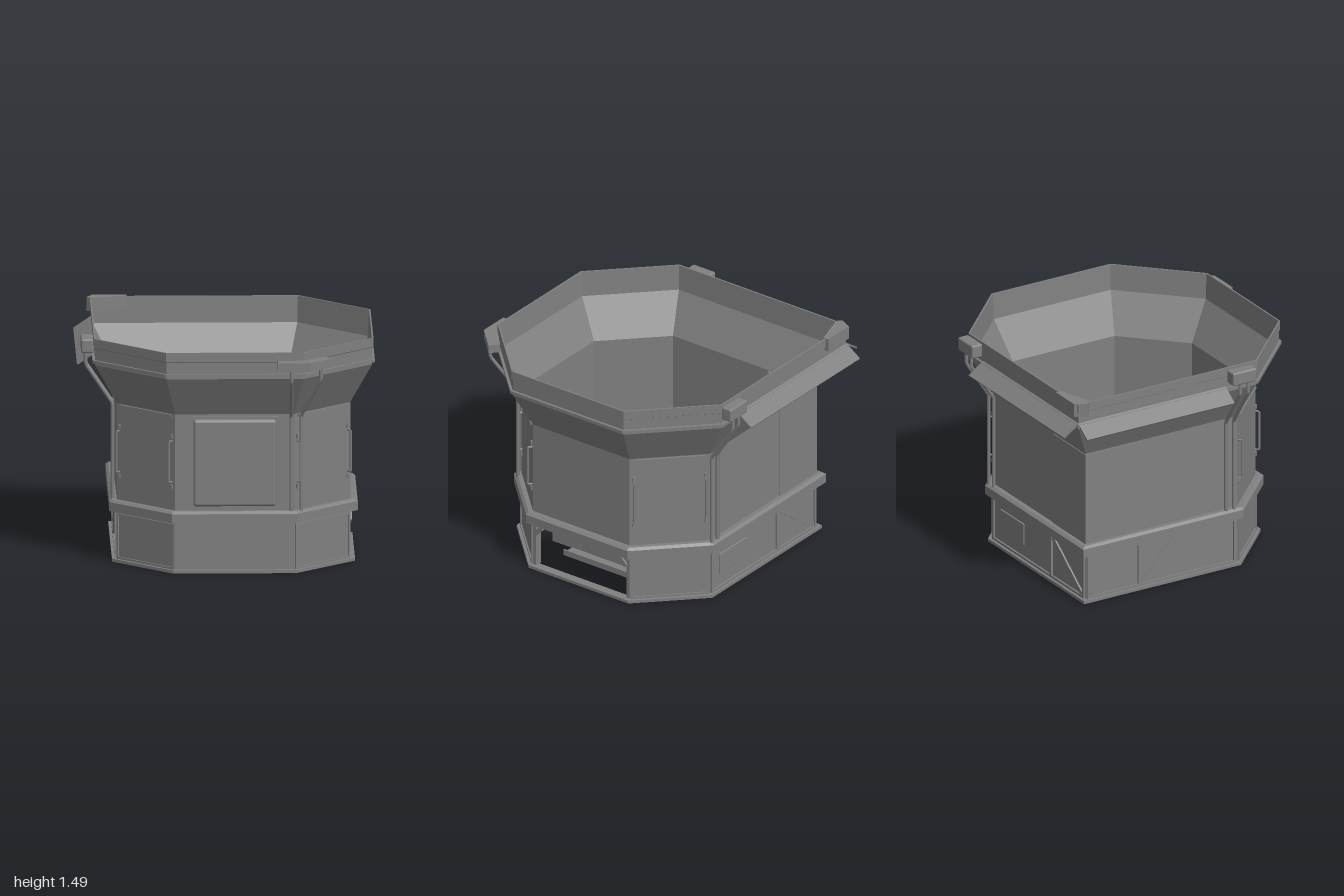
import * as THREE from 'three';
import { RoundedBoxGeometry } from 'three/addons/geometries/RoundedBoxGeometry.js';

const steel = new THREE.MeshStandardMaterial({ color: 0x808080, side: THREE.DoubleSide });
steel.name = 'grey steel';

// Wall plan (x, z): a chamfered box whose back left corner stays square
const plan = [[-0.71, -0.75], [0.43, -0.75], [0.80, -0.38], [0.80, 0.40], [0.43, 0.77], [-0.34, 0.77], [-0.71, 0.40]];
const count = plan.length;
const BACK = 0, RIGHT = 2, FRONT = 4, LEFT = 6, CHAMFERS = [1, 3, 5];
const at = (i) => plan[(i + count) % count];

function normal(i) {
  const [ax, az] = at(i), [bx, bz] = at(i + 1);
  const len = Math.hypot(bx - ax, bz - az);
  return [(bz - az) / len, -(bx - ax) / len];
}

// Plan corner pushed outward by d with a mitre
function corner(i, d) {
  const p = normal(i - 1), q = normal(i), k = d / (1 + p[0] * q[0] + p[1] * q[1]);
  return [at(i)[0] + (p[0] + q[0]) * k, at(i)[1] + (p[1] + q[1]) * k];
}

// Sweeps a profile of [outward offset, height] around the plan
function ring(name, profile, skip = []) {
  const pos = [];
  for (let i = 0; i < count; i++) {
    if (skip.includes(i)) continue;
    for (let j = 0; j < profile.length - 1; j++) {
      const [d0, y0] = profile[j], [d1, y1] = profile[j + 1];
      const v = (k, d, y) => { const c = corner(k, d); return [c[0], y, c[1]]; };
      const a = v(i, d0, y0), b = v(i + 1, d0, y0), c = v(i + 1, d1, y1), e = v(i, d1, y1);
      pos.push(...a, ...e, ...c, ...a, ...c, ...b);
    }
  }
  const geo = new THREE.BufferGeometry();
  geo.setAttribute('position', new THREE.Float32BufferAttribute(pos, 3));
  geo.computeVertexNormals();
  return part(name, geo);
}

function part(name, geo) {
  const mesh = new THREE.Mesh(geo, steel);
  mesh.name = name;
  return mesh;
}

// Box given by its extents
function box(name, x0, x1, y0, y1, z0, z1) {
  const geo = new THREE.BoxGeometry(x1 - x0, y1 - y0, z1 - z0);
  return part(name, geo.translate((x0 + x1) / 2, (y0 + y1) / 2, (z0 + z1) / 2));
}

function roundedBox(name, x0, x1, y0, y1, z0, z1, r) {
  const geo = new RoundedBoxGeometry(x1 - x0, y1 - y0, z1 - z0, 3, r);
  return part(name, geo.translate((x0 + x1) / 2, (y0 + y1) / 2, (z0 + z1) / 2));
}

// Plan outline (x, z) extruded between two heights
function slab(name, outline, y0, y1) {
  const shape = new THREE.Shape(outline.map(([x, z]) => new THREE.Vector2(x, -z)));
  const geo = new THREE.ExtrudeGeometry(shape, { depth: y1 - y0, bevelEnabled: false });
  return part(name, geo.rotateX(-Math.PI / 2).translate(0, y0, 0));
}

function pipe(name, points, radius) {
  const path = new THREE.CurvePath();
  const v = points.map((p) => new THREE.Vector3(...p));
  for (let i = 0; i < v.length - 1; i++) path.add(new THREE.LineCurve3(v[i], v[i + 1]));
  return part(name, new THREE.TubeGeometry(path, 40, radius, 8));
}

// Four bars around a rectangle
function frame(name, u0, u1, y0, y1, w, d) {
  const g = new THREE.Group();
  g.name = name;
  g.add(box('lowerBar', u0, u1, y0, y0 + w, 0, d), box('upperBar', u0, u1, y1 - w, y1, 0, d));
  g.add(box('sideBar', u0, u0 + w, y0, y1, 0, d), box('sideBar', u1 - w, u1, y0, y1, 0, d));
  return g;
}

// Flat bar slanting between two points on a wall
function brace(u0, y0, u1, y1) {
  const geo = new THREE.BoxGeometry(Math.hypot(u1 - u0, y1 - y0), 0.03, 0.012);
  geo.rotateZ(Math.atan2(y1 - y0, u1 - u0)).translate((u0 + u1) / 2, (y0 + y1) / 2, 0.006);
  return part('diagonalBrace', geo);
}

// Sloping rain strip under the rim
function awning(u0, u1) {
  const geo = new THREE.BoxGeometry(u1 - u0, 0.012, 0.135);
  geo.rotateX(0.6).translate((u0 + u1) / 2, 1.31, 0.195);
  return part('awning', geo);
}

export function createModel() {
  const model = new THREE.Group();
  model.name = 'octagonalCab';

  // One group per wall: x along the wall, z outward
  const sides = plan.map((p, i) => {
    const g = new THREE.Group(), n = normal(i), q = at(i + 1);
    g.name = 'wallFittings';
    g.position.set((p[0] + q[0]) / 2, 0, (p[1] + q[1]) / 2);
    g.rotation.y = Math.atan2(n[0], n[1]);
    model.add(g);
    return g;
  });

  // Main shells and bands
  model.add(
    ring('wallsAndFlare', [[0, 0.39], [0, 1.05], [0.14, 1.31], [0.14, 1.42], [0.148, 1.425], [0.148, 1.485],
      [0.138, 1.485], [0.13, 1.31], [-0.01, 1.05], [-0.01, 0.39]]),
    ring('rimLip', [[0.14, 1.325], [0.157, 1.325], [0.157, 1.345], [0.14, 1.345]]),
    ring('belt', [[-0.06, 0.34], [0.048, 0.34], [0.048, 0.40], [0.03, 0.415], [-0.06, 0.415], [-0.06, 0.34]]),
    ring('skirt', [[0, 0.02], [0, 0.34], [-0.012, 0.34], [-0.012, 0.02]], [RIGHT]),
    ring('basePlate', [[-0.03, 0.005], [0.03, 0.005], [0.03, 0.025], [-0.03, 0.025], [-0.03, 0.005]]),
  );

  // Raised front panel
  sides[FRONT].add(frame('frontPanelFrame', -0.28, 0.28, 0.435, 1.035, 0.02, 0.02),
    roundedBox('frontPanel', -0.268, 0.268, 0.45, 1.022, -0.01, 0.055, 0.02));

  // Chamfered walls: grab handles, header strip, framed lower panel
  for (const i of CHAMFERS) {
    for (const s of [-1, 1]) {
      const u = s * 0.235;
      sides[i].add(pipe('grabHandle', [[u, 0.6, 0], [u, 0.6, 0.03], [u, 0.87, 0.03], [u, 0.87, 0]], 0.007));
      for (const y of [0.57, 0.9]) sides[i].add(box('handleMount', u - 0.01, u + 0.01, y - 0.015, y + 0.015, 0, 0.012));
    }
    sides[i].add(box('headerStrip', -0.23, 0.23, 1.03, 1.045, 0, 0.012));
    sides[i].add(frame('lowerPanelFrame', -0.255, 0.255, 0.025, 0.325, 0.014, 0.01));
  }

  // Back and left lower walls: frames, corner braces, small hatch
  sides[BACK].add(frame('lowerPanelFrame', -0.56, 0.56, 0.025, 0.335, 0.016, 0.012),
    box('lowerPost', 0.14, 0.165, 0.03, 0.33, 0, 0.012), brace(0.18, 0.31, 0.53, 0.05),
    roundedBox('smallHatch', -0.47, -0.18, 0.12, 0.27, -0.005, 0.009, 0.005), awning(-0.46, 0.71));
  sides[LEFT].add(frame('lowerPanelFrame', -0.57, 0.56, 0.025, 0.335, 0.016, 0.012),
    box('lowerPost', -0.18, -0.155, 0.03, 0.33, 0, 0.012), brace(-0.54, 0.05, -0.2, 0.31),
    brace(-0.14, 0.05, 0.1, 0.31), awning(-0.72, 0.40));

  // Corner plates wrapping the square corner, inside and out
  model.add(
    box('cornerPlateBack', -0.716, -0.32, 0.41, 1.045, -0.756, -0.72),
    box('cornerPlateLeft', -0.716, -0.68, 0.41, 1.045, -0.756, -0.38),
  );

  // Equipment bay in the right wall
  for (const s of [-1, 1]) {
    sides[RIGHT].add(box('bayPost', s * 0.377 - 0.013, s * 0.377 + 0.013, 0.02, 0.34, -0.05, 0));
    sides[RIGHT].add(brace(s * 0.365, 0.26, s * 0.31, 0.315));
  }
  model.add(
    box('bayHeader', 0.77, 0.80, 0.315, 0.34, -0.38, 0.40),
    box('bayCeiling', 0.645, 0.80, 0.32, 0.34, -0.40, 0.42),
    box('bayBackPlate', 0.62, 0.645, 0.14, 0.29, -0.33, 0.36),
    box('bayShelf', 0.62, 0.74, 0.13, 0.145, -0.33, 0.20),
    box('shelfLip', 0.73, 0.74, 0.13, 0.17, -0.33, 0.20),
    box('bayCover', 0.645, 0.654, 0.15, 0.25, -0.24, 0.03),
    box('bayBracket', 0.59, 0.65, 0.15, 0.29, 0.13, 0.20),
    pipe('bayRod', [[0.70, 0.27, 0.20], [0.70, 0.255, -0.30]], 0.008),
  );

  // Lamps on pipe stands; each pipe is base, shoulder and head position in plan
  const stand = (a, b) => model.add(pipe('lampPipe',
    [[a[0], 0.40, a[1]], [a[0], 1.04, a[1]], [b[0], 1.30, b[1]], [b[0], 1.39, b[1]]], 0.012));
  stand([0.41, 0.79], [0.41, 0.965]);
  stand([0.475, 0.765], [0.60, 0.895]);
  stand([-0.735, 0.36], [-0.91, 0.36]);
  stand([-0.735, 0.30], [-0.91, 0.30]);
  stand([0.44, -0.775], [0.44, -0.945]);
  stand([0.38, -0.775], [0.38, -0.945]);
  model.add(
    slab('frontCornerLamp', [[0.32, 1.0], [0.53, 1.0], [0.68, 0.85], [0.625, 0.797], [0.49, 0.92], [0.32, 0.92]], 1.375, 1.432),
    roundedBox('leftLamp', -0.94, -0.86, 1.38, 1.472, 0.23, 0.41, 0.012),
    roundedBox('backLamp', 0.32, 0.50, 1.38, 1.472, -0.975, -0.895, 0.012),
    slab('cornerBracket', [[-0.88, -0.84], [-0.84, -0.92], [-0.62, -0.92], [-0.62, -0.88], [-0.85, -0.81]], 1.40, 1.49),
  );
  return model;
}
